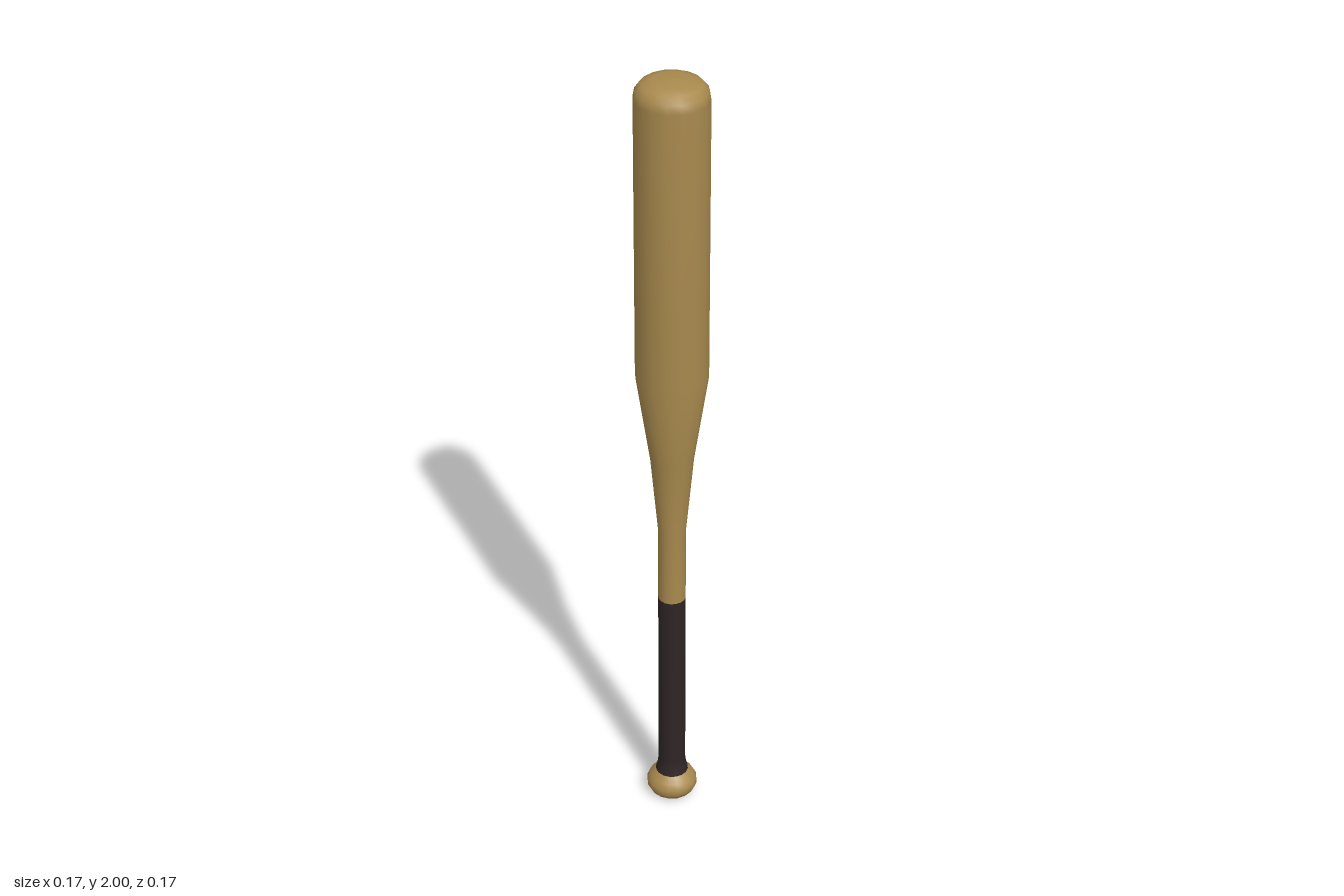
import * as THREE from 'three';

const SIDES = 16;

export function createModel() {
  const group = new THREE.Group();
  group.name = 'bat';

  const wood = new THREE.MeshStandardMaterial({ name: 'wood', color: 0xa98a4e });
  const gripTape = new THREE.MeshStandardMaterial({ name: 'dark grip tape', color: 0x2f2525 });

  // Turned part from [radius, height] pairs, listed bottom to top
  const turned = (name, profile, material) => {
    const points = profile.map(([r, y]) => new THREE.Vector2(r, y));
    const mesh = new THREE.Mesh(new THREE.LatheGeometry(points, SIDES), material);
    mesh.name = name;
    group.add(mesh);
  };

  // Rounded knob at the foot
  turned('knob', [
    [0, 0], [0.04, 0.002], [0.055, 0.01], [0.063, 0.025],
    [0.063, 0.04], [0.055, 0.055], [0.041, 0.07],
  ], wood);

  // Wrapped grip, flaring slightly into the knob
  turned('grip', [
    [0.041, 0.07], [0.036, 0.09], [0.034, 0.11], [0.034, 0.61],
  ], gripTape);

  // Bare handle, taper, barrel and domed end
  turned('barrel', [
    [0.034, 0.61], [0.034, 0.81], [0.053, 1.02], [0.087, 1.25],
    [0.087, 1.955], [0.083, 1.975], [0.07, 1.99], [0.045, 1.998], [0, 2],
  ], wood);

  return group;
}
